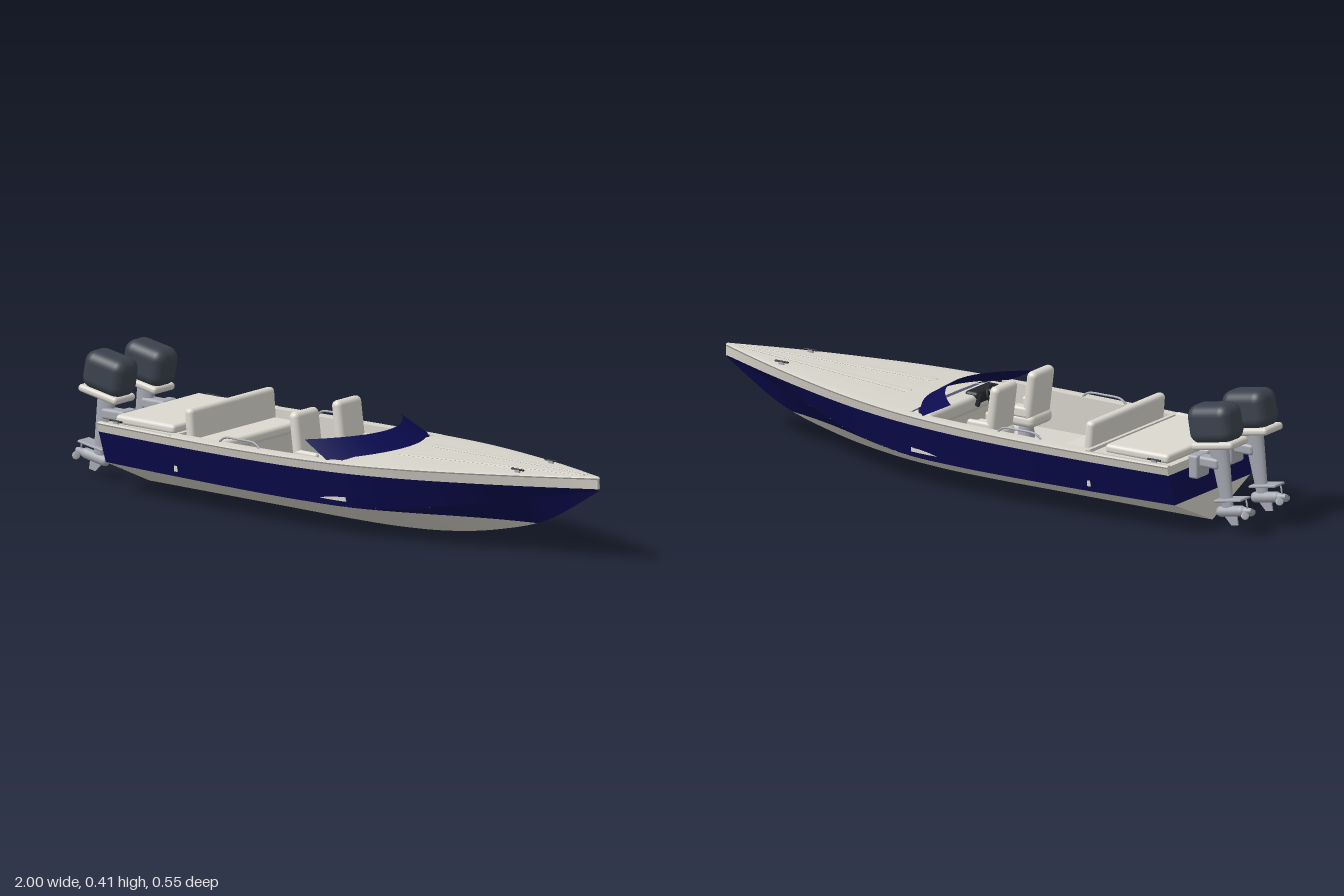
import * as THREE from 'three';
import { RoundedBoxGeometry } from 'three/addons/geometries/RoundedBoxGeometry.js';

const mat = (name, color, side = THREE.DoubleSide) => {
  const m = new THREE.MeshStandardMaterial({ color, side });
  m.name = name;
  return m;
};

export function createModel() {
  const boat = new THREE.Group();
  boat.name = 'speedboat';
  const cream = mat('cream gelcoat', 0xd6d3ca);
  const navy = mat('navy paint', 0x0b0b50);
  const vinyl = mat('seat vinyl', 0xdcd9d0);
  const cowlGrey = mat('cowl grey', 0x3b424d);
  const metal = mat('metal', 0xa6a8b2);
  const black = mat('black trim', 0x23262b);
  const seam = mat('seam grey', 0x8f8d86);

  const add = (parent, name, geo, m, x = 0, y = 0, z = 0, rz = 0) => {
    const mesh = new THREE.Mesh(geo, m);
    mesh.name = name;
    mesh.position.set(x, y, z);
    mesh.rotation.z = rz;
    parent.add(mesh);
    return mesh;
  };
  const box = (w, h, d) => new THREE.BoxGeometry(w, h, d);
  const soft = (w, h, d, r) => new RoundedBoxGeometry(w, h, d, 4, r);

  // Smooth value along the hull, given at ten evenly spaced stations
  const X0 = -0.79, X1 = 1;
  const along = (v) => {
    const n = v.length;
    const padded = [2 * v[0] - v[1], ...v, 2 * v[n - 1] - v[n - 2]];
    const curve = new THREE.SplineCurve(padded.map((y, i) => new THREE.Vector2(i, y)));
    return (x) => curve.getPoint((1 + (n - 1) * (x - X0) / (X1 - X0)) / (n + 1)).y;
  };
  const keelY = along([.005, .005, .005, .005, .005, .009, .024, .058, .118, .235]);
  const chineY = along([.1, .1, .1, .1, .1, .103, .123, .158, .198, .238]);
  const chineZ = along([.208, .218, .225, .228, .223, .205, .166, .108, .046, 0]);
  const kneeY = along([.202, .204, .206, .208, .211, .216, .222, .229, .236, .243]);
  const kneeZ = along([.242, .254, .262, .264, .259, .243, .206, .15, .082, .004]);
  const gunY = along([.23, .232, .234, .236, .24, .246, .254, .262, .27, .277]);
  const gunZ = along([.25, .262, .27, .272, .267, .251, .215, .158, .088, .006]);

  // Loft a section of [y, z] points along x, on both sides of the boat
  const loft = (name, m, a, b, n, section) => {
    const pos = [], idx = [];
    for (const s of [1, -1]) {
      const base = pos.length / 3;
      let w = 0;
      for (let i = 0; i <= n; i++) {
        const x = a + (b - a) * i / n, pts = section(x);
        w = pts.length;
        for (const [y, z] of pts) pos.push(x, y, z * s);
      }
      for (let i = 0; i < n; i++) for (let j = 0; j < w - 1; j++) {
        const p = base + i * w + j, q = p + w;
        if (s > 0) idx.push(p, q, p + 1, q, q + 1, p + 1);
        else idx.push(p, p + 1, q, q, p + 1, q + 1);
      }
    }
    const g = new THREE.BufferGeometry();
    g.setAttribute('position', new THREE.Float32BufferAttribute(pos, 3));
    g.setIndex(idx);
    g.computeVertexNormals();
    return add(boat, name, g, m);
  };

  // Hull: bottom to the waterline, painted sides, gunwale band
  const keel = (x) => [keelY(x), 0];
  const chine = (x) => [chineY(x), chineZ(x)];
  const knee = (x) => [kneeY(x), kneeZ(x)];
  const gun = (x) => [gunY(x), gunZ(x)];
  const water = (x) => {
    const k = keelY(x), c = chineY(x);
    const t = THREE.MathUtils.clamp((0.1 - k) / Math.max(c - k, 1e-4), 0, 1);
    return [k + (c - k) * t, chineZ(x) * t];
  };
  loft('hullBottom', cream, X0, X1, 70, (x) => [keel(x), water(x)]);
  loft('bowFlare', navy, 0, X1, 70, (x) => [water(x), chine(x)]);
  loft('hullSide', navy, X0, X1, 70, (x) => [chine(x), knee(x)]);
  loft('gunwaleBand', cream, X0, X1, 70, (x) => [knee(x), gun(x)]);
  add(boat, 'stemCap', box(0.008, 0.034, 0.012), cream, 0.995, 0.259);

  // Transom in three bands
  const transom = (name, m, lo, hi) => {
    const pts = [[-lo[1], lo[0]], [lo[1], lo[0]], [hi[1], hi[0]], [-hi[1], hi[0]]];
    const g = new THREE.ShapeGeometry(new THREE.Shape(pts.map((p) => new THREE.Vector2(...p))));
    add(boat, name, g.rotateY(-Math.PI / 2), m, X0);
  };
  transom('transomBottom', cream, [keelY(X0), 0.0001], chine(X0));
  transom('transomMiddle', navy, chine(X0), knee(X0));
  transom('transomTop', cream, knee(X0), gun(X0));

  // Decks and cockpit
  const AFT = -0.49, FORE = 0.17, FLOOR = 0.12;
  const inner = (x) => Math.min(0.225, gunZ(x) - 0.035);
  const deckY = (x, z) => {
    const g = gunZ(x);
    return gunY(x) + 0.003 + 0.03 * g * (1 - (z / g) ** 2);
  };
  loft('foredeck', cream, FORE, X1, 40, (x) => [
    gun(x), ...[0.95, 0.8, 0.6, 0.4, 0.2, 0].map((f) => [deckY(x, gunZ(x) * f), gunZ(x) * f])]);
  loft('sideDeck', cream, AFT, FORE, 20, (x) => [gun(x), [gunY(x) + 0.004, gunZ(x) - 0.01],
    [gunY(x) + 0.004, inner(x)]]);
  loft('cockpitWall', cream, AFT, FORE, 20, (x) => [[gunY(x) + 0.004, inner(x)], [FLOOR, inner(x)]]);
  loft('cockpitFloor', cream, AFT, FORE, 4, (x) => [[FLOOR, inner(x)], [FLOOR, 0]]);
  loft('aftRim', cream, X0, AFT, 10, (x) => [gun(x), [gunY(x) + 0.004, gunZ(x) - 0.005],
    [gunY(x) + 0.004, gunZ(x) - 0.017], [gunY(x) - 0.006, gunZ(x) - 0.02]]);
  loft('aftDeck', cream, X0, AFT, 4, (x) => [[gunY(x) - 0.006, gunZ(x) - 0.02], [gunY(x) - 0.006, 0]]);
  add(boat, 'aftBulkhead', box(0.012, 0.118, 0.47), cream, AFT, 0.178);
  add(boat, 'foreBulkhead', box(0.01, 0.124, 0.44), cream, FORE, 0.182);
  loft('rubRail', seam, X0, X1, 60, (x) => [[gunY(x) - 0.004, gunZ(x) + 0.001], [gunY(x), gunZ(x) + 0.001]]);

  // Tapered raised strakes on the foredeck
  loft('deckStrake', cream, 0.28, 0.95, 24, (x) => {
    const t = (x - 0.28) / 0.67, o = 0.088 - 0.074 * t, i = 0.058 - 0.054 * t;
    return [[deckY(x, o), o], [deckY(x, o) + 0.004, o - 0.002],
      [deckY(x, i) + 0.004, i + 0.002], [deckY(x, i), i]];
  });
  for (const edge of [0, 1]) loft('strakeSeam', seam, 0.28, 0.95, 24, (x) => {
    const t = (x - 0.28) / 0.67, z = edge ? 0.088 - 0.074 * t : 0.058 - 0.054 * t;
    return [[deckY(x, z) + 0.002, z + 0.0015], [deckY(x, z) + 0.002, z - 0.0015]];
  });

  // Wraparound windshield with trim along its base
  loft('windshield', navy, 0, 1, 1, () => [[0, 0], [0, 0]]).geometry = (() => {
    const g = new THREE.PlaneGeometry(1, 1, 32, 1), p = g.attributes.position;
    for (let i = 0; i < p.count; i++) {
      const s = p.getX(i) * 2, top = p.getY(i) > 0;
      if (top) p.setXYZ(i, 0.15 - 0.13 * s * s, 0.301 - 0.006 * s * s, -0.23 * s);
      else p.setXYZ(i, 0.228 - 0.105 * s * s, 0.254 - 0.01 * s * s, -0.243 * s);
    }
    g.computeVertexNormals();
    return g;
  })();
  const trim = [-1, -0.75, -0.5, -0.25, 0, 0.25, 0.5, 0.75, 1].map((s) =>
    new THREE.Vector3(0.228 - 0.105 * s * s, 0.253 - 0.01 * s * s, 0.243 * s));
  add(boat, 'windshieldTrim', new THREE.TubeGeometry(new THREE.CatmullRomCurve3(trim), 32, 0.003, 6), black);

  // Dashboard and steering wheel
  add(boat, 'dashboard', soft(0.07, 0.05, 0.43, 0.015), cream, 0.14, 0.222);
  add(boat, 'instrumentPanel', soft(0.05, 0.04, 0.13, 0.012), black, 0.125, 0.237, 0.1);
  const wheel = new THREE.Group();
  wheel.name = 'steeringWheel';
  wheel.position.set(0.085, 0.238, 0.1);
  wheel.rotation.set(0, Math.PI / 2, 0);
  wheel.rotateX(0.4);
  add(wheel, 'wheelRim', new THREE.TorusGeometry(0.03, 0.004, 8, 28), black);
  for (let i = 0; i < 3; i++) add(wheel, 'wheelSpoke', box(0.058, 0.004, 0.003), metal, 0, 0, 0, i * Math.PI / 3);
  boat.add(wheel);
  add(boat, 'throttle', box(0.012, 0.04, 0.01), black, 0.085, 0.24, 0.02, 0.3);

  // Bucket seats, rear bench and sun pad
  for (const s of [1, -1]) {
    const seat = new THREE.Group();
    seat.name = 'bucketSeat';
    seat.position.z = 0.102 * s;
    add(seat, 'pedestal', new THREE.CylinderGeometry(0.02, 0.028, 0.06, 16), metal, -0.035, 0.15);
    add(seat, 'cushion', soft(0.135, 0.042, 0.118, 0.018), vinyl, -0.03, 0.19);
    add(seat, 'backrest', soft(0.036, 0.16, 0.118, 0.017), vinyl, -0.08, 0.271, 0, 0.13);
    for (const k of [1, -1]) add(seat, 'bolster', soft(0.09, 0.035, 0.02, 0.009), vinyl, -0.035, 0.218, 0.05 * k);
    boat.add(seat);
  }
  add(boat, 'benchBase', box(0.11, 0.07, 0.4), cream, -0.425, 0.155);
  add(boat, 'benchCushion', soft(0.125, 0.035, 0.405, 0.014), vinyl, -0.417, 0.203);
  add(boat, 'benchBackrest', soft(0.032, 0.11, 0.405, 0.014), vinyl, -0.466, 0.258, 0, 0.08);
  add(boat, 'sunPad', soft(0.235, 0.03, 0.4, 0.012), vinyl, -0.643, 0.237);

  // Grab rails and mooring cleats
  for (const s of [1, -1]) {
    const rail = new THREE.CatmullRomCurve3([[-0.315, 0.24], [-0.295, 0.254], [-0.235, 0.257], [-0.175, 0.254], [-0.155, 0.24]]
      .map(([x, y]) => new THREE.Vector3(x, y, 0.234 * s)));
    add(boat, 'grabRail', new THREE.TubeGeometry(rail, 24, 0.0035, 8), metal);
    for (const [x, z] of [[0.745, 0.08], [-0.73, 0.232]]) {
      const y = x > 0 ? deckY(x, z) : gunY(x) + 0.002;
      add(boat, 'cleatBar', soft(0.05, 0.005, 0.007, 0.002), black, x, y + 0.009, z * s);
      add(boat, 'cleatFoot', box(0.018, 0.012, 0.007), metal, x, y + 0.003, z * s);
    }
  }

  // Twin outboard engines
  for (const s of [1, -1]) {
    const z = 0.095 * s;
    add(boat, 'mountBracket', soft(0.035, 0.075, 0.07, 0.008), metal, -0.803, 0.205, z);
    add(boat, 'swivelArm', soft(0.085, 0.035, 0.045, 0.01), metal, -0.845, 0.222, z);
    const engine = new THREE.Group();
    engine.name = 'outboardEngine';
    engine.position.set(-0.865, 0.35, z);
    engine.rotation.z = -0.17;
    const cowl = soft(0.16, 0.122, 0.107, 0.036), p = cowl.attributes.position;
    for (let i = 0; i < p.count; i++) {
      const k = 1 - 0.5 * Math.max(0, p.getY(i)) ** 1.2;
      p.setX(i, p.getX(i) * k);
    }
    add(engine, 'cowl', cowl, cowlGrey);
    add(engine, 'cowlTray', soft(0.155, 0.024, 0.1, 0.011), cream, -0.004, -0.066);
    // Midsection tapers towards the gearcase
    const leg = new THREE.CylinderGeometry(0.036, 0.02, 0.2, 20);
    add(engine, 'leg', leg, metal, 0, -0.17).scale.z = 0.55;
    add(engine, 'ventPlate', soft(0.1, 0.008, 0.055, 0.003), metal, -0.02, -0.242);
    const pod = new THREE.CapsuleGeometry(0.017, 0.075, 6, 16).rotateZ(Math.PI / 2);
    add(engine, 'gearcase', pod, metal, -0.012, -0.28);
    const fin = new THREE.Shape([[-0.03, 0], [0.025, 0], [-0.005, -0.042], [-0.03, -0.042]]
      .map((q) => new THREE.Vector2(...q)));
    const skeg = new THREE.ExtrudeGeometry(fin, { depth: 0.005, bevelEnabled: false }).translate(0, 0, -0.0025);
    add(engine, 'skeg', skeg, metal, 0, -0.282);
    add(engine, 'propHub', new THREE.CylinderGeometry(0.013, 0.008, 0.03, 14).rotateZ(-Math.PI / 2), metal, -0.073, -0.28);
    for (let i = 0; i < 3; i++) {
      const blade = new THREE.SphereGeometry(1, 14, 8).scale(0.003, 0.016, 0.013)
        .rotateY(0.7).translate(0, 0.021, 0).rotateX(i * Math.PI * 2 / 3);
      add(engine, 'propBlade', blade, metal, -0.073, -0.28);
    }
    boat.add(engine);
  }
  return boat;
}
